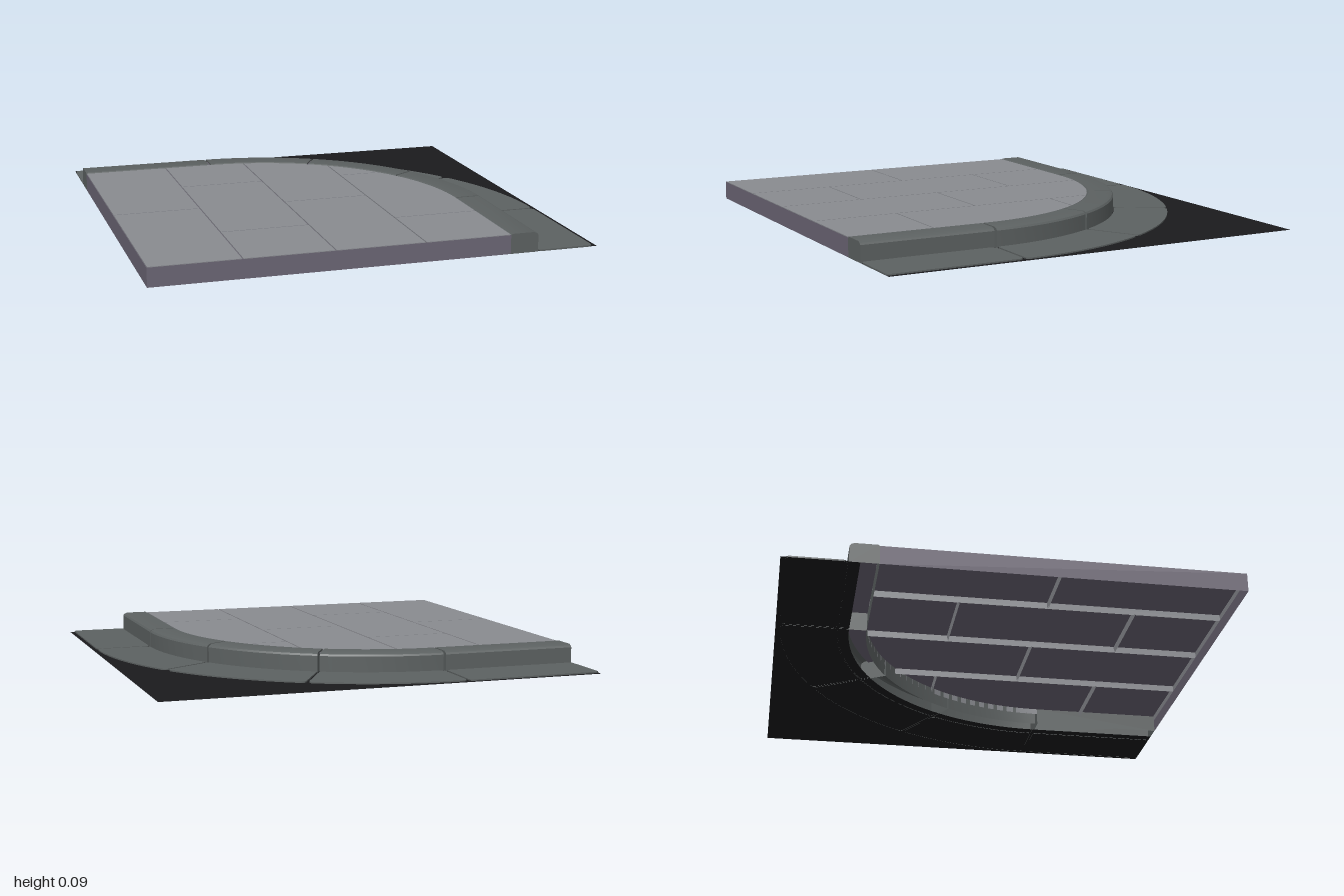
import * as THREE from 'three';
import { toCreasedNormals } from 'three/addons/utils/BufferGeometryUtils.js';

const C = 0.37;          // the bend is centred on (-C, C)
const K = 1.2;           // nominal radius that turns path length into angle
const INNER = 0.96;      // radius of the paving edge
const STRAIGHT = 1 - C;  // length of each straight run
const BEND = K * Math.PI / 2;
const GAP = 0.006;

const paint = (color) => new THREE.MeshStandardMaterial({ color, side: THREE.DoubleSide });

// Plan point [x, z] at distance s along the kerb line and offset radius r
function at(s, r) {
  const a = THREE.MathUtils.clamp(s / K, 0, Math.PI / 2);
  return [-C + r * Math.sin(a) + Math.min(s, 0), C - r * Math.cos(a) + Math.max(s - BEND, 0)];
}

function samples(s0, s1, n) {
  return Array.from({ length: n + 1 }, (_, i) => s0 + (s1 - s0) * i / n);
}

function toGeometry(pos) {
  const g = new THREE.BufferGeometry();
  g.setAttribute('position', new THREE.Float32BufferAttribute(pos, 3));
  return toCreasedNormals(g, 0.5);
}

function quad(pos, a, b, c, d) {
  pos.push(...a, ...b, ...c, ...a, ...c, ...d);
}

// Open-bottomed slab: a top face plus side walls around a plan outline
function slab(outline, y0, y1) {
  const p = outline.map(([x, z]) => new THREE.Vector2(x, -z));
  if (THREE.ShapeUtils.isClockWise(p)) p.reverse();
  const pos = [];
  for (const tri of THREE.ShapeUtils.triangulateShape(p, [])) {
    for (const i of tri) pos.push(p[i].x, y1, -p[i].y);
  }
  if (y1 > y0) {
    p.forEach((a, i) => {
      const b = p[(i + 1) % p.length];
      quad(pos, [a.x, y0, -a.y], [b.x, y0, -b.y], [b.x, y1, -b.y], [a.x, y1, -a.y]);
    });
  }
  return toGeometry(pos);
}

// Kerb stone: chamfered profile swept along the kerb line, with closed ends
const PROFILE = [[1.088, 0], [1.088, 0.076], [1.082, 0.084], [1.068, 0.09],
  [0.968, 0.09], [INNER, 0.084], [INNER, 0]];

function kerbStone(s0, s1, n) {
  const pos = [];
  const rings = samples(s0, s1, n).map((s) => PROFILE.map(([r, y]) => {
    const [x, z] = at(s, r);
    return [x, y, z];
  }));
  for (let i = 0; i < n; i++) {
    for (let j = 0; j < PROFILE.length - 1; j++) {
      quad(pos, rings[i][j], rings[i + 1][j], rings[i + 1][j + 1], rings[i][j + 1]);
    }
  }
  const face = PROFILE.map(([r, y]) => new THREE.Vector2(r, y));
  for (const [a, b, c] of THREE.ShapeUtils.triangulateShape(face, [])) {
    pos.push(...rings[0][a], ...rings[0][b], ...rings[0][c]);
    pos.push(...rings[n][a], ...rings[n][c], ...rings[n][b]);
  }
  return toGeometry(pos);
}

// Plan outline of a gutter slab with rounded corners
function gutterOutline(s0, s1, n) {
  const r0 = 1.092, r1 = 1.35, c = 0.02, pts = [];
  const corner = (s, ds, r, dr, flip) => {
    for (let k = 0; k <= 4; k++) {
      const a = (flip ? 4 - k : k) * Math.PI / 8;
      pts.push(at(s + ds * c * (1 - Math.sin(a)), r + dr * c * (1 - Math.cos(a))));
    }
  };
  const run = (a, b, r) => samples(a, b, n).slice(1, -1).forEach((s) => pts.push(at(s, r)));
  corner(s0, 1, r1, -1, true);
  run(s0 + c, s1 - c, r1);
  corner(s1, -1, r1, -1, false);
  corner(s1, -1, r0, 1, true);
  run(s1 - c, s0 + c, r0);
  corner(s0, 1, r0, 1, false);
  return pts;
}

// Back limit of the paving at a given x
const edgeZ = (x) => C - (x < -C ? INNER : Math.sqrt(Math.max(INNER ** 2 - (x + C) ** 2, 0)));

// Paver outline, trimmed to the inside of the kerb
function paverOutline(x0, x1, z0, z1) {
  const g = 0.003;
  x0 += g; z0 += g; z1 -= g;
  x1 = Math.min(x1 - g, INNER - C);
  if (z1 < C) x1 = Math.min(x1, -C + Math.sqrt(Math.max(INNER ** 2 - (C - z1) ** 2, 0)));
  const pts = [[x0, z1], [x1, z1]];
  for (let i = 0; i <= 16; i++) {
    const x = x1 - (x1 - x0) * (i / 16) ** 2;
    const z = Math.max(z0, edgeZ(x));
    if (z < z1 - 1e-4) pts.push([x, z]);
  }
  return pts;
}

export function createModel() {
  const model = new THREE.Group();
  const stone = paint(0x5c6161), paving = paint(0x898b90);
  const mortar = paint(0x6b6574), asphalt = paint(0x1b1b1d);
  const add = (name, geometry, material, parent = model) => {
    const mesh = new THREE.Mesh(geometry, material);
    mesh.name = name;
    parent.add(mesh);
    return mesh;
  };
  const group = (name) => {
    const g = new THREE.Group();
    g.name = name;
    model.add(g);
    return g;
  };
  const line = (r) => samples(-STRAIGHT, BEND + STRAIGHT, 96).map((s) => at(s, r));

  // Road sheet outside the kerb
  add('road', slab([...line(1.04), [1, 1], [1, -1], [-1, -1]], 0.001, 0.001), asphalt);

  // Mortar bed under the paving and its two outer walls
  add('mortarBed', slab([...line(1.05), [-1, 1]], 0.082, 0.082), mortar);
  const walls = [];
  const e = INNER - C, top = 0.085;
  quad(walls, [-1, 0, -e], [-1, 0, 1], [-1, top, 1], [-1, top, -e]);
  quad(walls, [-1, 0, 1], [e, 0, 1], [e, top, 1], [-1, top, 1]);
  add('mortarWalls', toGeometry(walls), mortar);

  // Kerb stones and gutter slabs: straight, three bends, straight
  const kerb = group('kerb'), gutter = group('gutter');
  const cuts = [-STRAIGHT, 0, BEND / 3, BEND * 2 / 3, BEND, BEND + STRAIGHT];
  for (let i = 0; i < 5; i++) {
    const s0 = cuts[i] + (i > 0 ? GAP : 0);
    const s1 = cuts[i + 1] - (i < 4 ? GAP : 0);
    const n = i % 4 ? 10 : 1;
    add('kerbStone', kerbStone(s0, s1, n), stone, kerb);
    add('gutterSlab', slab(gutterOutline(s0, s1, n), 0, 0.007), stone, gutter);
  }

  // Pavers in running bond, alternate columns shifted by half a length
  const pavers = group('pavers');
  for (let col = 0; col < 4; col++) {
    const x = -1 + col * 0.4;
    const joints = col % 2 ? [-1, -0.2, 0.6, 1] : [-0.6, 0.2, 1];
    for (let j = 0; j < joints.length - 1; j++) {
      add('paver', slab(paverOutline(x, x + 0.4, joints[j], joints[j + 1]), 0.055, 0.087), paving, pavers);
    }
  }
  return model;
}
